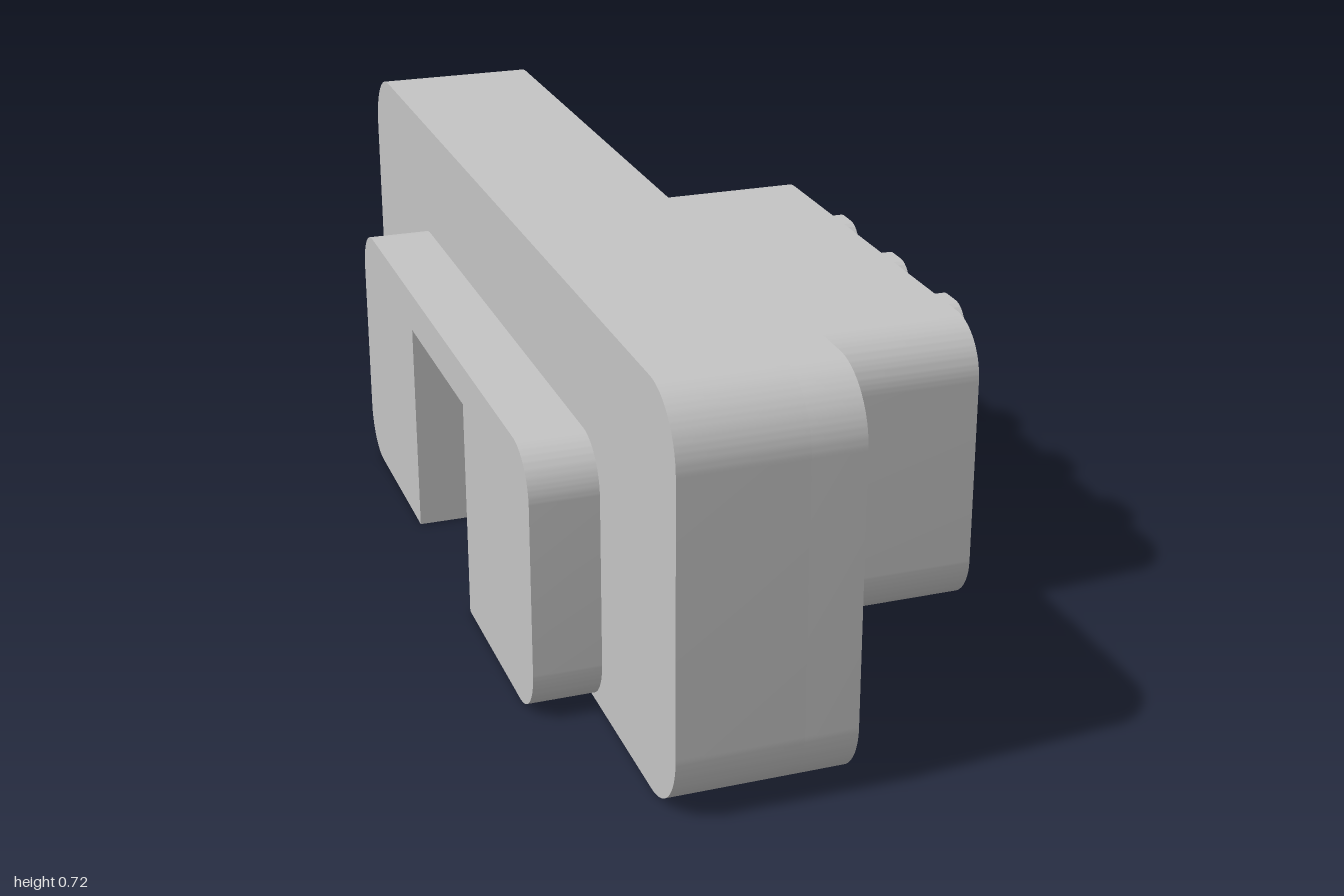
import * as THREE from 'three';
import { toCreasedNormals } from 'three/addons/utils/BufferGeometryUtils.js';

const NOTCH_HALF = 0.195, NOTCH_TOP = 0.417;

// Rounded rectangle standing on y = 0, optionally with a slot open at the bottom
function profile(half, height, r, notched) {
  const s = new THREE.Shape();
  s.moveTo(-half + r, 0);
  if (notched) {
    s.lineTo(-NOTCH_HALF, 0);
    s.lineTo(-NOTCH_HALF, NOTCH_TOP);
    s.lineTo(NOTCH_HALF, NOTCH_TOP);
    s.lineTo(NOTCH_HALF, 0);
  }
  s.lineTo(half - r, 0);
  s.absarc(half - r, r, r, -Math.PI / 2, 0, false);
  s.absarc(half - r, height - r, r, 0, Math.PI / 2, false);
  s.absarc(-half + r, height - r, r, Math.PI / 2, Math.PI, false);
  s.absarc(-half + r, r, r, Math.PI, Math.PI * 1.5, false);
  return s;
}

export function createModel() {
  const model = new THREE.Group();
  const grey = new THREE.MeshStandardMaterial({ color: 0xc4c4c4 });
  grey.name = 'grey';

  // Extrudes a profile along x from x0 to x1
  function slab(name, x0, x1, half, height, r, notched = false, z = 0) {
    const geo = new THREE.ExtrudeGeometry(profile(half, height, r, notched), {
      depth: x1 - x0, bevelEnabled: false, curveSegments: 16,
    });
    geo.rotateY(Math.PI / 2);
    const mesh = new THREE.Mesh(toCreasedNormals(geo, 0.5), grey);
    mesh.name = name;
    mesh.position.set(x0, 0, z);
    model.add(mesh);
  }

  // Rear plate and the slotted part of the wide flange
  slab('rearPlate', -0.467, -0.345, 0.622, 0.493, 0.09, true);
  slab('flangeSlotted', -0.345, -0.128, 1, 0.722, 0.12, true);
  // Solid part of the flange, closing the slot
  slab('flangeSolid', -0.128, -0.035, 1, 0.722, 0.12);
  // Grip block with three ribs on its end
  slab('gripBlock', -0.035, 0.408, 0.491, 0.557, 0.1);
  for (const i of [-1, 0, 1]) {
    slab('gripRib', 0.408, 0.467, 0.062, 0.526, 0.045, false, i * 0.247);
  }
  return model;
}
